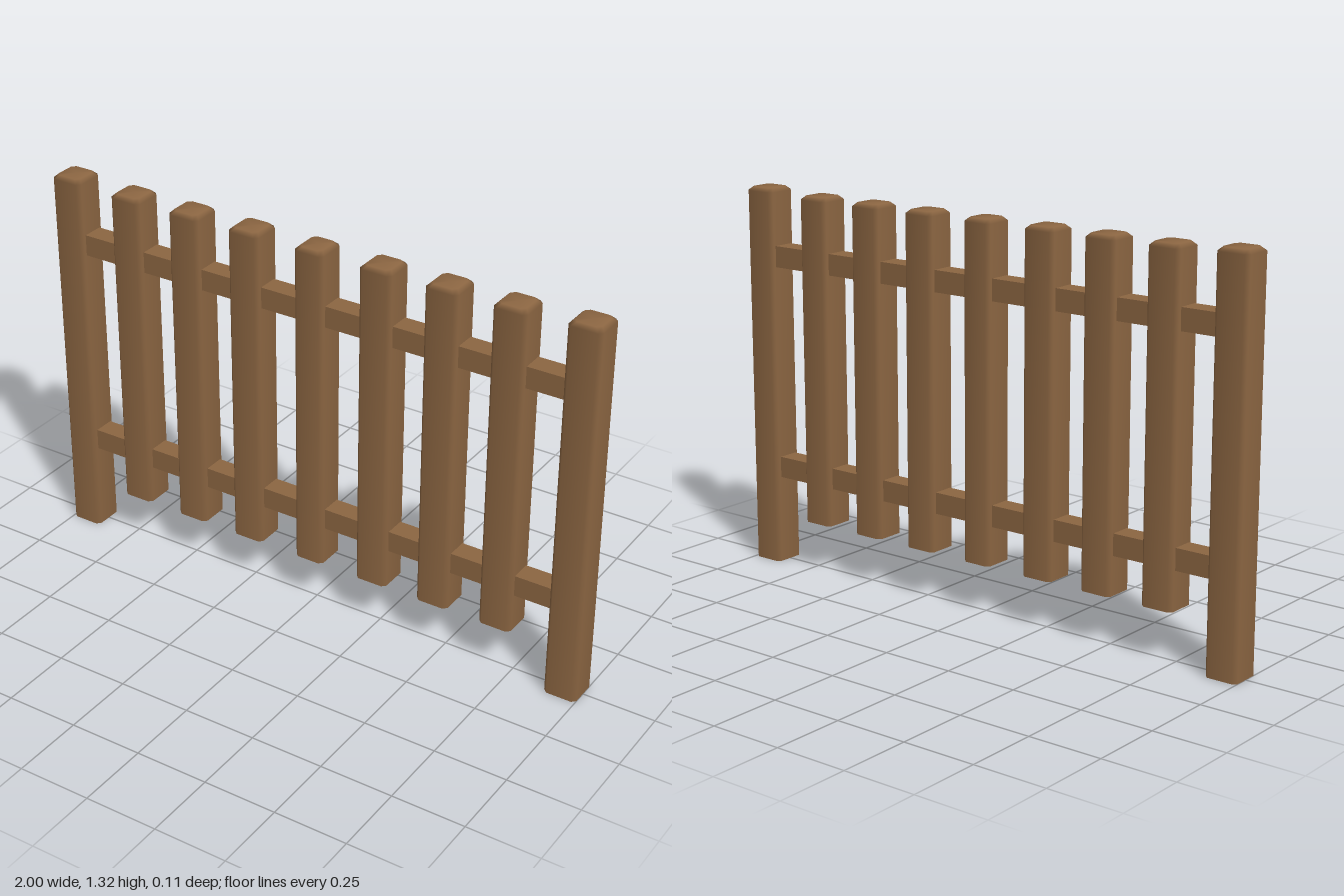
import * as THREE from 'three';

const wood = new THREE.MeshStandardMaterial({ color: 0x8c6642 });
wood.name = 'brownWood';

const CHAMFER = 0.013;

// Upright with chamfered long edges, a softened top and a flat foot
function uprightGeometry(width, depth, bottom, top) {
  const positions = [];
  const index = [];

  const addRing = (w, d, y) => {
    const start = positions.length / 3;
    const x = w / 2, z = d / 2, c = CHAMFER;
    const outline = [
      [x, z - c], [x - c, z], [-x + c, z], [-x, z - c],
      [-x, -z + c], [-x + c, -z], [x - c, -z], [x, -z + c],
    ];
    for (const [px, pz] of outline) positions.push(px, y, pz);
    return start;
  };
  const addCentre = (y) => positions.push(0, y, 0) / 3 - 1;

  // sides and top bevel
  const rings = [
    addRing(width, depth, bottom),
    addRing(width, depth, top - CHAMFER),
    addRing(width - 2 * CHAMFER, depth - 2 * CHAMFER, top),
  ];
  for (let r = 0; r < 2; r++) {
    for (let i = 0; i < 8; i++) {
      const j = (i + 1) % 8;
      const a = rings[r] + i, b = rings[r] + j;
      const c = rings[r + 1] + j, d = rings[r + 1] + i;
      index.push(a, d, b, b, d, c);
    }
  }

  // top cap shares its ring for soft shading; the foot has its own for a crisp edge
  const topCentre = addCentre(top);
  const foot = addRing(width, depth, bottom);
  const footCentre = addCentre(bottom);
  for (let i = 0; i < 8; i++) {
    const j = (i + 1) % 8;
    index.push(topCentre, rings[2] + j, rings[2] + i);
    index.push(footCentre, foot + i, foot + j);
  }

  const geometry = new THREE.BufferGeometry();
  geometry.setAttribute('position', new THREE.Float32BufferAttribute(positions, 3));
  geometry.setIndex(index);
  geometry.computeVertexNormals();
  return geometry;
}

export function createModel() {
  const fence = new THREE.Group();
  fence.name = 'picketFence';

  const add = (name, geometry, x, y = 0) => {
    const mesh = new THREE.Mesh(geometry, wood);
    mesh.name = name;
    mesh.position.set(x, y, 0);
    fence.add(mesh);
  };

  // tall end posts standing on the ground
  const post = uprightGeometry(0.114, 0.114, 0, 1.32);
  add('rightPost', post, -0.943);
  add('leftPost', post, 0.943);

  // pickets hung between the posts
  const picket = uprightGeometry(0.114, 0.114, 0.175, 1.31);
  [-0.705, -0.474, -0.244, 0.24, 0.47, 0.70].forEach((x, i) => add(`picket${i + 1}`, picket, x));
  add('middlePicket', uprightGeometry(0.106, 0.114, 0.175, 1.31), 0);

  // horizontal rails running through every upright
  const rail = new THREE.BoxGeometry(1.84, 0.073, 0.073);
  add('lowerRail', rail, 0, 0.343);
  add('upperRail', rail, 0, 1.087);

  return fence;
}
